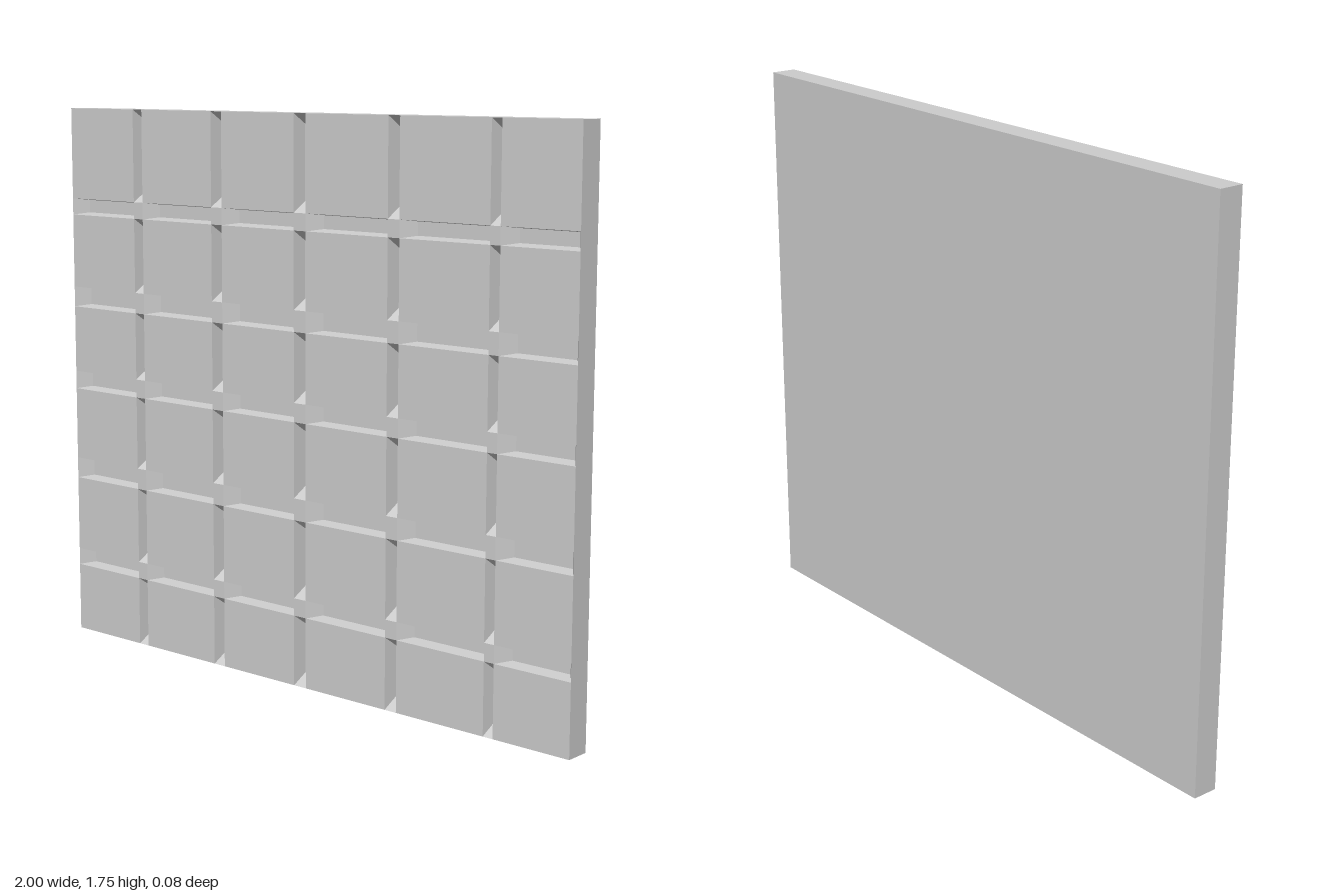
import * as THREE from 'three';

const HEIGHT = 1.75, FRONT = 0.04, BACK = -0.04, DEPTH = 0.045;
const SIDE = 0.006, RAMP = 0.032; // inset of groove floor at its long sides and its ends

// Edges of bands: even bands are raised tiles, odd bands are grooves
const XS = [-1, -0.71, -0.67, -0.365, -0.32, -0.022, 0.026, 0.34, 0.383, 0.703, 0.738, 1];
const YS = [0, 0.222, 0.277, 0.522, 0.59, 0.825, 0.884, 1.1, 1.166, 1.404, 1.457, HEIGHT];

function rect(x0, x1, y0, y1, z) {
  return [[x0, y0, z], [x1, y0, z], [x1, y1, z], [x0, y1, z]];
}

// Mesh from flat quads, corners counter-clockwise
function quadMesh(name, quads, material) {
  const points = quads.flatMap(([a, b, c, d]) => [a, b, c, a, c, d]).flat();
  const geometry = new THREE.BufferGeometry();
  geometry.setAttribute('position', new THREE.Float32BufferAttribute(points, 3));
  geometry.computeVertexNormals();
  const mesh = new THREE.Mesh(geometry, material);
  mesh.name = name;
  return mesh;
}

// The four quads joining one ring of corners to another
function ringQuads(outer, inner) {
  return outer.map((p, i) => {
    const j = (i + 1) % 4;
    return [p, outer[j], inner[j], inner[i]];
  });
}

export function createModel() {
  const group = new THREE.Group();
  group.name = 'tiledPanel';
  const material = new THREE.MeshStandardMaterial({ color: 0xcccccc, flatShading: true });

  const tiles = [], crossings = [], grooves = [];
  for (let i = 0; i < XS.length - 1; i++) {
    for (let j = 0; j < YS.length - 1; j++) {
      const [x0, x1, y0, y1] = [XS[i], XS[i + 1], YS[j], YS[j + 1]];
      const top = rect(x0, x1, y0, y1, FRONT);
      const inColumn = i % 2 === 1, inRow = j % 2 === 1;
      if (inColumn === inRow) {
        (inColumn ? crossings : tiles).push(top);
        continue;
      }
      // Pocket with steep long sides and ramped ends
      const dx = inRow ? RAMP : SIDE, dy = inRow ? SIDE : RAMP;
      const floor = rect(x0 + dx, x1 - dx, y0 + dy, y1 - dy, FRONT - DEPTH);
      grooves.push(floor, ...ringQuads(top, floor));
    }
  }
  group.add(quadMesh('tiles', tiles, material));
  group.add(quadMesh('crossings', crossings, material));
  group.add(quadMesh('grooves', grooves, material));

  // Plain back and outer edges of the slab
  const front = rect(-1, 1, 0, HEIGHT, FRONT), back = rect(-1, 1, 0, HEIGHT, BACK);
  group.add(quadMesh('slabEdges', ringQuads(back, front), material));
  group.add(quadMesh('slabBack', [back.slice().reverse()], material));
  return group;
}
